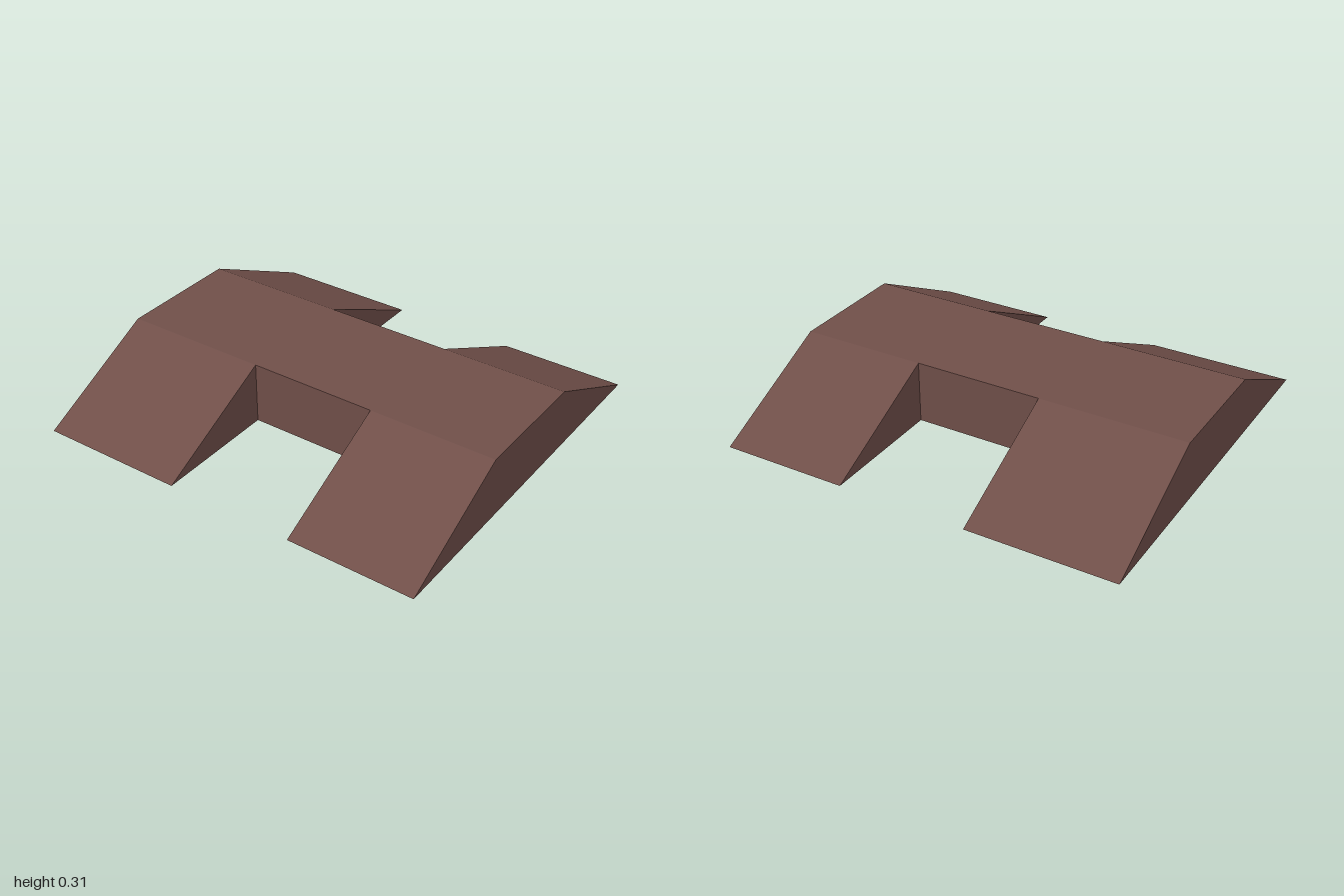
import * as THREE from 'three';

// Open-bottomed H-shaped shell: flat deck, four sloping wings, upright walls
const H = 0.31;
const FOOT = 0.94;                       // outer foot of the slopes
const DECK = { '-1': -0.32, '1': 0.30 }; // deck edges on each side
const BACK = [-1, -0.27], FRONT = [0.37, 1];

export function createModel() {
  const group = new THREE.Group();
  group.name = 'rampBlock';
  const brown = new THREE.MeshStandardMaterial({ color: 0x704f49, side: THREE.DoubleSide });
  brown.name = 'brown';

  // Flat convex face from its corners, turned to face the outward direction
  function face(name, corners, outward) {
    const pts = corners.map((c) => new THREE.Vector3(...c));
    const normal = pts[1].clone().sub(pts[0]).cross(pts[2].clone().sub(pts[0]));
    if (normal.dot(new THREE.Vector3(...outward)) < 0) pts.reverse();
    const index = [];
    for (let i = 1; i < pts.length - 1; i++) index.push(0, i, i + 1);
    const geometry = new THREE.BufferGeometry().setFromPoints(pts);
    geometry.setIndex(index);
    geometry.computeVertexNormals();
    const mesh = new THREE.Mesh(geometry, brown);
    mesh.name = name;
    group.add(mesh);
  }

  // Flat top
  const [l, r] = [DECK['-1'], DECK['1']];
  face('deck', [[l, H, -1], [l, H, 1], [r, H, 1], [r, H, -1]], [0, 1, 0]);

  // Trapezoid ends
  for (const z of [-1, 1]) {
    face(z > 0 ? 'frontEnd' : 'backEnd',
      [[-FOOT, 0, z], [FOOT, 0, z], [r, H, z], [l, H, z]], [0, 0, z]);
  }

  for (const s of [-1, 1]) {
    const side = s > 0 ? 'left' : 'right';
    const foot = s * FOOT, top = DECK[s];

    // Sloping wings
    for (const [a, b] of [BACK, FRONT]) {
      face(side + (a < 0 ? 'BackSlope' : 'FrontSlope'),
        [[foot, 0, a], [foot, 0, b], [top, H, b], [top, H, a]], [s, 1, 0]);
    }

    // Triangular notch walls and the wall of the narrow middle
    for (const [z, dir] of [[BACK[1], 1], [FRONT[0], -1]]) {
      face(side + (dir > 0 ? 'BackNotchWall' : 'FrontNotchWall'),
        [[foot, 0, z], [top, 0, z], [top, H, z]], [0, 0, dir]);
    }
    face(side + 'MiddleWall',
      [[top, 0, BACK[1]], [top, 0, FRONT[0]], [top, H, FRONT[0]], [top, H, BACK[1]]], [s, 0, 0]);
  }
  return group;
}
